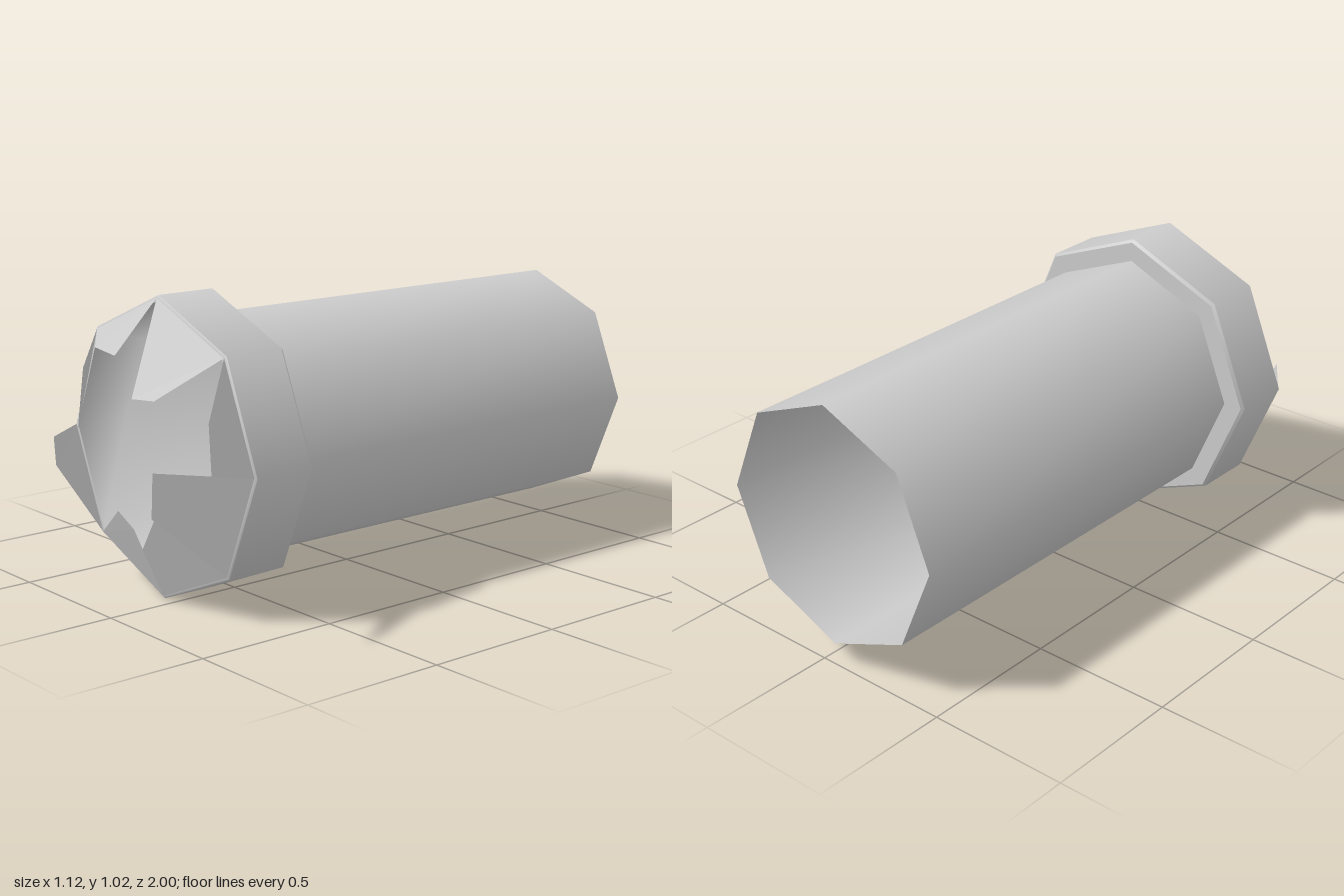
import * as THREE from 'three';

const SIDES = 8;
const CENTER = [-0.055, 0.515];

const material = new THREE.MeshStandardMaterial({ color: 0xcccccc, side: THREE.DoubleSide });
const shardMaterial = new THREE.MeshStandardMaterial({ color: 0xcccccc, side: THREE.DoubleSide, flatShading: true });

// Octagonal shell around the z axis; profile is [radius, z], a repeated point makes a sharp edge
function shell(name, profile) {
  const geometry = new THREE.LatheGeometry(profile.map(([r, z]) => new THREE.Vector2(r, z)), SIDES);
  geometry.rotateX(Math.PI / 2);
  geometry.translate(CENTER[0], CENTER[1], 0);
  const mesh = new THREE.Mesh(geometry, material);
  mesh.name = name;
  return mesh;
}

// Corner k of the rim, counted from +x towards the top
function rimCorner(k) {
  const a = (k * Math.PI * 2) / SIDES;
  return [CENTER[0] + 0.503 * Math.cos(a), CENTER[1] + 0.503 * Math.sin(a), 0.754];
}

// Thin torn flap standing on rim edge k, with one tip near each corner
function shard(k, tipA, tipB) {
  const a = rimCorner(k);
  const b = rimCorner(k + 1);
  const geometry = new THREE.BufferGeometry();
  const corners = [a, b, tipB, a, tipB, tipA].flat();
  geometry.setAttribute('position', new THREE.Float32BufferAttribute(corners, 3));
  geometry.computeVertexNormals();
  const mesh = new THREE.Mesh(geometry, shardMaterial);
  mesh.name = `shard${k + 1}`;
  return mesh;
}

export function createModel() {
  const group = new THREE.Group();
  group.name = 'brokenPipe';

  // Long pipe, open at the back
  group.add(shell('pipe', [[0.43, -1], [0.43, 0.53]]));

  // Collar with narrow bevels and a sunken floor in its mouth
  group.add(shell('collar', [
    [0.43, 0.522], [0.5, 0.522], [0.5, 0.522],
    [0.51, 0.532], [0.51, 0.532], [0.51, 0.748], [0.51, 0.748],
    [0.503, 0.755], [0.49, 0.755], [0.49, 0.755],
    [0.435, 0.6], [0, 0.6],
  ]));

  // Jagged flaps around the mouth
  const tips = [
    [[0.56, 0.585, 1.0], [0.475, 0.72, 0.945]],
    [[0.105, 0.72, 0.885], [0.01, 0.715, 0.905]],
    [[-0.11, 0.835, 0.885], [-0.325, 0.825, 0.82]],
    [[-0.355, 0.755, 0.85], [-0.335, 0.555, 0.89]],
    [[-0.44, 0.515, 0.92], [-0.39, 0.43, 0.945]],
    [[-0.14, 0.31, 0.868], [-0.055, 0.265, 0.865]],
    [[-0.055, 0.19, 0.833], [0.105, 0.36, 0.88]],
    [[0.15, 0.355, 0.935], [0.19, 0.515, 0.955]],
  ];
  const shards = new THREE.Group();
  shards.name = 'shards';
  tips.forEach(([tipA, tipB], k) => shards.add(shard(k, tipA, tipB)));
  group.add(shards);

  return group;
}
